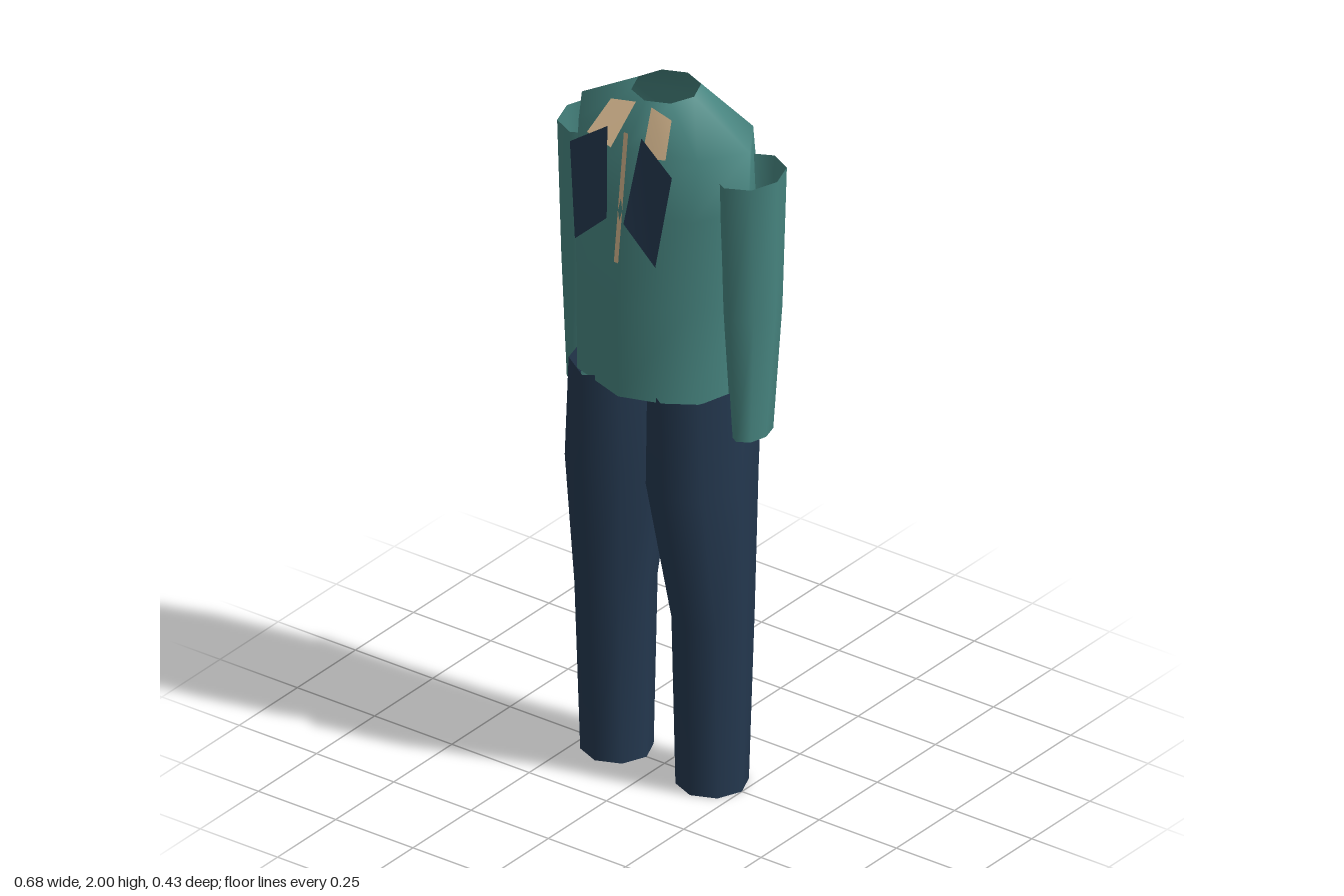
import * as THREE from 'three';

function material(name, color) {
  const m = new THREE.MeshStandardMaterial({ color, side: THREE.DoubleSide });
  m.name = name;
  return m;
}

// Open eight-sided tube with smooth normals; rings run upward as [y, centreX, radiusX, zBack, zFront]
function tube(rings, side = 1) {
  const n = 8, pos = [], index = [];
  rings.forEach(([y, cx, rx, z0, z1], r) => {
    for (let i = 0; i < n; i++) {
      const a = (i / n) * Math.PI * 2;
      pos.push(side * cx + Math.cos(a) * rx, y, (z0 + z1) / 2 + Math.sin(a) * (z1 - z0) / 2);
      if (r === rings.length - 1) continue;
      const p = r * n + i, q = r * n + (i + 1) % n;
      index.push(p, p + n, q, q, p + n, q + n);
    }
  });
  return build(pos, index);
}

// Single four-cornered sheet, optionally mirrored to the other side
function sheet(corners, side = 1) {
  const pos = corners.flatMap(([x, y, z]) => [x * side, y, z]);
  return build(pos, side > 0 ? [0, 2, 1, 0, 3, 2] : [0, 1, 2, 0, 2, 3]);
}

function build(pos, index) {
  const g = new THREE.BufferGeometry();
  g.setAttribute('position', new THREE.Float32BufferAttribute(pos, 3));
  g.setIndex(index);
  g.computeVertexNormals();
  return g;
}

export function createModel() {
  const group = new THREE.Group();
  const teal = material('teal cloth', 0x478580);
  const navy = material('navy cloth', 0x24384f);
  const tan = material('tan cloth', 0xd2b48c);

  const add = (name, geometry, mat) => {
    const mesh = new THREE.Mesh(geometry, mat);
    mesh.name = name;
    group.add(mesh);
  };

  // Jacket body, open at neck and hem
  add('jacketBody', tube([
    [1.175, 0, 0.25, -0.2, 0.2],
    [1.45, 0, 0.25, -0.21, 0.205],
    [1.72, 0, 0.265, -0.212, 0.194],
    [1.895, 0, 0.272, -0.175, 0.163],
    [2.0, 0, 0.09, -0.1, 0.086],
  ]), teal);

  for (const side of [1, -1]) {
    const label = side > 0 ? 'left' : 'right';

    // Sleeves, open at both ends
    add(label + 'Sleeve', tube([
      [1.06, 0.265, 0.046, -0.092, 0.045],
      [1.42, 0.252, 0.083, -0.12, 0.057],
      [1.82, 0.25, 0.09, -0.141, 0.077],
    ], side), teal);

    // Trouser legs, open at both ends
    add(label + 'TrouserLeg', tube([
      [0, 0.154, 0.096, -0.096, 0.096],
      [0.5, 0.157, 0.102, -0.118, 0.118],
      [0.9, 0.131, 0.13, -0.158, 0.183],
      [1.19, 0.127, 0.121, -0.195, 0.186],
    ], side), navy);

    // Shirt collar flaps
    add(label + 'CollarFlap', sheet([
      [0.025, 1.99, 0.09], [0.098, 1.98, 0.1],
      [0.127, 1.9, 0.165], [0.05, 1.88, 0.165],
    ], side), tan);

    // Lapels standing off the chest
    add(label + 'Lapel', sheet([
      [0.055, 1.945, 0.173], [0.165, 1.87, 0.188],
      [0.13, 1.605, 0.213], [0.027, 1.7, 0.213],
    ], side), navy);
  }

  // Narrow strip down the chest
  add('chestStrip', sheet([
    [-0.007, 1.94, 0.166], [0.007, 1.94, 0.166],
    [0.007, 1.575, 0.209], [-0.007, 1.575, 0.209],
  ]), tan);

  return group;
}
